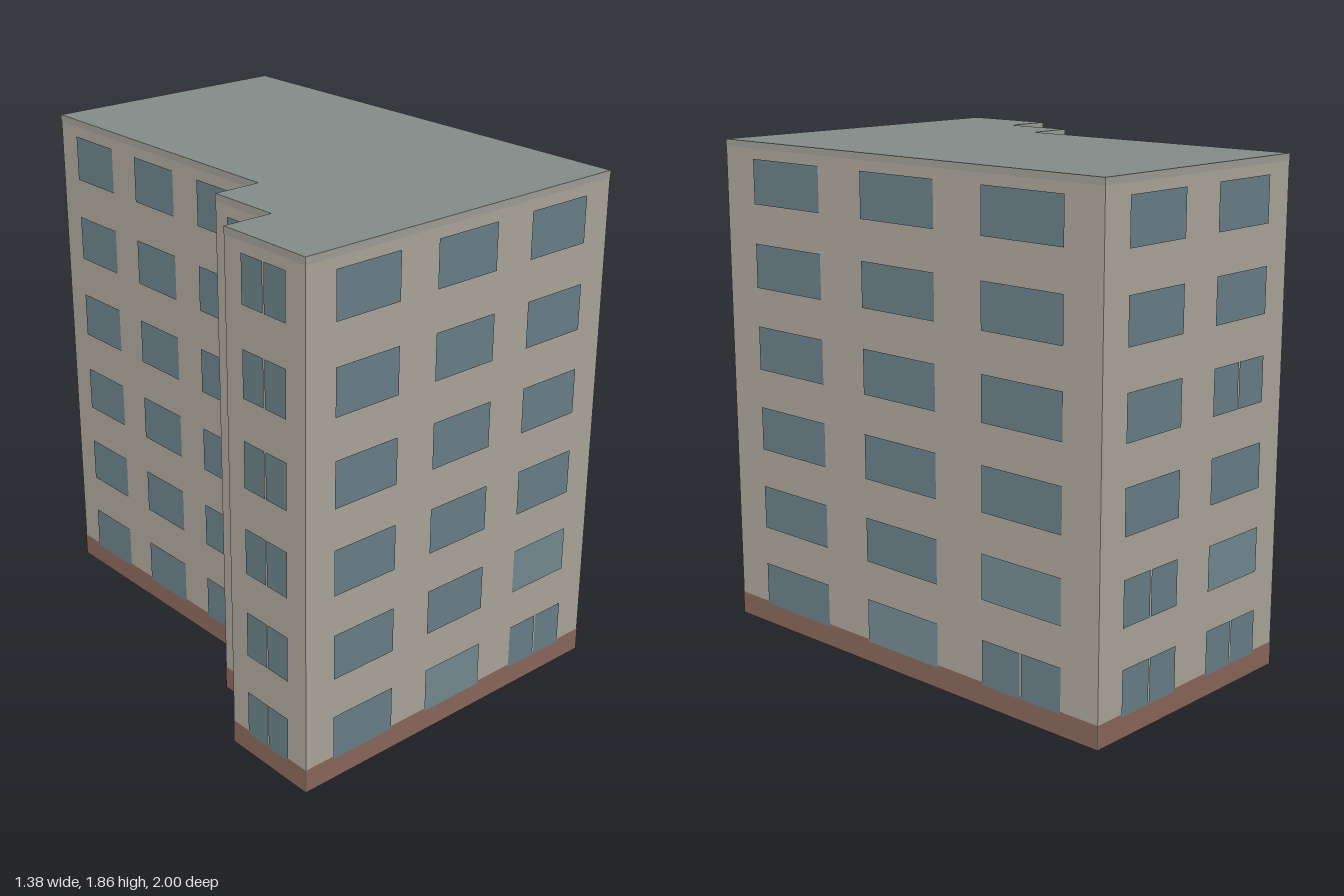
import * as THREE from 'three';

const HEIGHT = 1.855, PLINTH = 0.087, ROWS = 6, PITCH = 0.31, SILL = 0.078, WINDOW_H = 0.165;

// Footprint corners [x, z], with the walls running anticlockwise seen from above
const CORNERS = [
  [-0.632, 0.995], [0.688, 0.784], [0.405, -1], [-0.558, -0.852],
  [-0.378, 0.292], [-0.552, 0.321], [-0.508, 0.594], [-0.69, 0.623],
];

// Window columns (centres as fractions of the wall), and width fraction by column count
const CENTRES = { 1: [0.5], 2: [0.265, 0.735], 3: [0.185, 0.5, 0.815] };
const WIDTHS = { 1: 0.55, 2: 0.29, 3: 0.196 };

// Per wall: column count, split windows and pale windows as 'column,row'
const WALLS = [
  { name: 'frontWall', columns: 3, split: ['2,0'], pale: ['1,0', '2,1'] },
  { name: 'rightWall', columns: 3, split: ['2,0'], pale: ['1,0', '2,1'] },
  { name: 'backWall', columns: 2, split: ['0,0', '0,1', '1,0', '1,3'], pale: ['1,1'] },
  { name: 'leftWall', columns: 3, split: [], pale: [] },
  { name: 'innerStepBack', columns: 1, splitAll: true, split: [], pale: [] },
  { name: 'innerStepSide', columns: 1, splitAll: true, split: [], pale: [] },
  { name: 'outerStepBack', columns: 1, splitAll: true, split: [], pale: [] },
  { name: 'outerStepSide', columns: 1, splitAll: true, split: [], pale: [] },
];

const material = (color, side = THREE.FrontSide) => new THREE.MeshStandardMaterial({ color, side });

export function createModel() {
  const group = new THREE.Group();
  group.name = 'apartmentBlock';
  const mats = {
    wall: material(0xb0aa9e, THREE.DoubleSide),
    roof: material(0x858d8a, THREE.DoubleSide),
    plinth: material(0x8c6a5c),
    band: material(0xa3a19a),
    glass: material(0x6b838b),
    paleGlass: material(0x768d95),
  };

  // Upright rectangle in a wall's own frame: x along the wall, z outward
  function panel(parent, name, mat, x, y, w, h, out) {
    const mesh = new THREE.Mesh(new THREE.PlaneGeometry(w, h), mat);
    mesh.position.set(x, y + h / 2, out);
    mesh.name = name;
    parent.add(mesh);
  }

  WALLS.forEach((spec, i) => {
    const [ax, az] = CORNERS[i];
    const [bx, bz] = CORNERS[(i + 1) % CORNERS.length];
    const length = Math.hypot(bx - ax, bz - az);
    const side = new THREE.Group();
    side.name = spec.name;
    side.position.set((ax + bx) / 2, 0, (az + bz) / 2);
    side.rotation.y = Math.atan2(az - bz, bx - ax);
    group.add(side);

    panel(side, 'wall', mats.wall, 0, 0, length, HEIGHT, 0);
    panel(side, 'plinth', mats.plinth, 0, 0, length, PLINTH, 0.002);
    panel(side, 'topBand', mats.band, 0, HEIGHT - 0.025, length, 0.025, 0.002);

    // Window grid
    const w = WIDTHS[spec.columns] * length;
    CENTRES[spec.columns].forEach((c, col) => {
      const x = (c - 0.5) * length;
      for (let row = 0; row < ROWS; row++) {
        const key = `${col},${row}`;
        const y = SILL + row * PITCH;
        const mat = spec.pale.includes(key) ? mats.paleGlass : mats.glass;
        if (spec.splitAll || spec.split.includes(key)) {
          const gap = 0.006, half = (w - gap) / 2;
          for (const s of [-1, 1]) {
            panel(side, 'windowHalf', mat, x + s * (half + gap) / 2, y, half, WINDOW_H, 0.004);
          }
        } else {
          panel(side, 'window', mat, x, y, w, WINDOW_H, 0.004);
        }
      }
    });
  });

  // Flat roof over the footprint; the underside stays open
  const outline = new THREE.Shape(CORNERS.map(([x, z]) => new THREE.Vector2(x, -z)));
  const roof = new THREE.Mesh(new THREE.ShapeGeometry(outline).rotateX(-Math.PI / 2), mats.roof);
  roof.position.y = HEIGHT;
  roof.name = 'roof';
  group.add(roof);

  return group;
}
